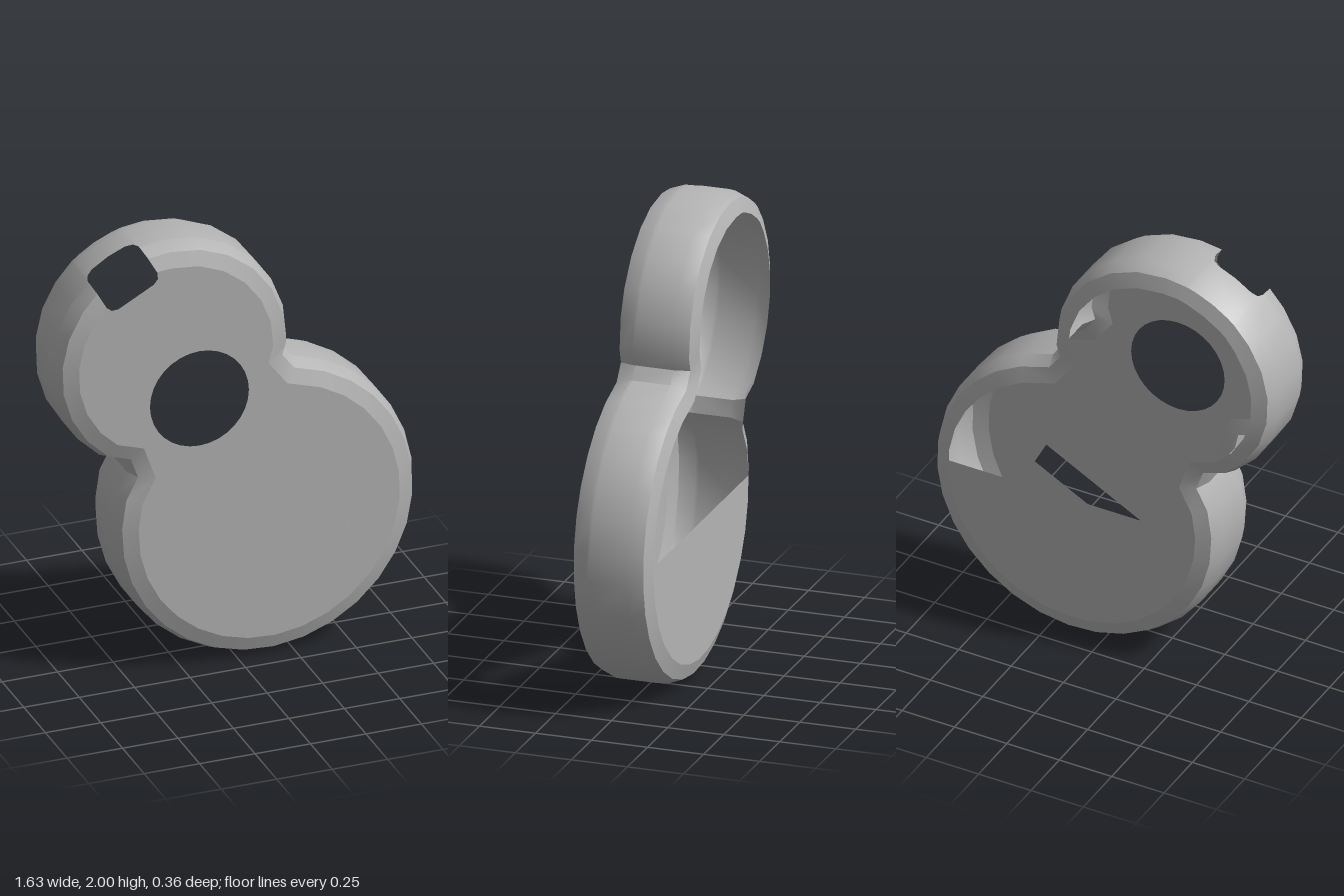
import * as THREE from 'three';
import { toCreasedNormals } from 'three/addons/utils/BufferGeometryUtils.js';

const SMALL = { x: -0.285, y: 1.47, r: 0.53 };
const LARGE = { x: 0.135, y: 0.68, r: 0.68 };
const NOTCH = 0.13;                               // half width of the notch in the upper rim
const N = new THREE.Vector2(-0.474, 0.88).normalize(); // long axis of the case
const T = new THREE.Vector2(N.y, -N.x);
const BACK_EDGE = 0.7;                            // top of the back cover
const DEPTH = 0.178;

const arcPoint = (c, deg) => {
  const a = THREE.MathUtils.degToRad(deg);
  return { x: c.x + c.r * Math.cos(a), y: c.y + c.r * Math.sin(a) };
};
// Point in the small lobe's tilted frame
const notchPoint = (t, n) => ({
  x: SMALL.x + T.x * t + N.x * n,
  y: SMALL.y + T.y * t + N.y * n,
});

// Figure-eight outline, counter-clockwise, with extra points across the notch
function makeOutline() {
  const pts = [];
  const small = (from, to, steps) => {
    for (let i = 0; i <= steps; i++) pts.push(arcPoint(SMALL, from + (to - from) * i / steps));
  };
  small(-2, 92, 6);
  for (const t of [0.13, 0.117, 0.085, 0, -0.085, -0.117, -0.13]) {
    pts.push({ ...notchPoint(t, Math.sqrt(SMALL.r ** 2 - t * t)), t });
  }
  small(145, 234, 6);
  pts.push({ x: -0.5, y: 1.01 }, { x: -0.475, y: 0.94 });
  for (let i = 0; i <= 23; i++) pts.push(arcPoint(LARGE, 166 + (438.5 - 166) * i / 23));
  pts.push({ x: 0.23, y: 1.4 });
  return pts;
}

// Move the outline inwards, mitred at each corner
function inset(pts, d) {
  return pts.map((p, i) => {
    if (p.t !== undefined) return { x: p.x - N.x * d, y: p.y - N.y * d, t: p.t };
    const a = pts[(i + pts.length - 1) % pts.length], b = pts[(i + 1) % pts.length];
    const n1 = new THREE.Vector2(a.y - p.y, p.x - a.x).normalize();
    const n2 = new THREE.Vector2(p.y - b.y, b.x - p.x).normalize();
    const m = n1.clone().add(n2).normalize();
    const k = d / Math.max(0.6, m.dot(n1));
    return { x: p.x + m.x * k, y: p.y + m.y * k };
  });
}

// Height of the notch floor, with rounded corners
function notchFloor(t) {
  if (t === undefined) return 0.075;
  const r = 0.045, e = Math.max(0, Math.abs(t) - (NOTCH - r));
  return 0.03 + r - Math.sqrt(Math.max(0, r * r - e * e));
}

// Bevelled side wall lofted from front to back
function makeWall(outline) {
  const profile = [[0.09, DEPTH], [0.025, 0.155], [0, 0.09], [0, null], [0, -0.09], [0.025, -0.155], [0.09, -DEPTH]];
  const pos = [], idx = [], n = outline.length;
  for (const [d, z] of profile) {
    for (const p of inset(outline, d)) pos.push(p.x, p.y, z === null ? notchFloor(p.t) : z);
  }
  for (let k = 0; k < profile.length - 1; k++) {
    for (let i = 0; i < n; i++) {
      const j = (i + 1) % n;
      const open = outline[i].t !== undefined && outline[j].t !== undefined;
      if (open && k < 3) continue;
      const a = k * n + i, b = a + n, c = (k + 1) * n + j, d = k * n + j;
      idx.push(a, b, c, a, c, d);
    }
  }
  const g = new THREE.BufferGeometry();
  g.setAttribute('position', new THREE.Float32BufferAttribute(pos, 3));
  g.setIndex(idx);
  return toCreasedNormals(g, THREE.MathUtils.degToRad(35));
}

const toShape = (pts) => new THREE.Shape(pts.map((p) => new THREE.Vector2(p.x, p.y)));

// Front plate with the notch, the round opening and the slot
function makeFront(outline) {
  const path = [];
  for (const p of inset(outline, 0.09)) {
    if (p.t === undefined || Math.abs(p.t) === NOTCH) path.push(p);
    if (p.t === NOTCH) {
      for (const [t, n] of [[0.13, 0.42], [0.118, 0.392], [0.09, 0.38], [-0.09, 0.38], [-0.118, 0.392], [-0.13, 0.42]]) {
        path.push(notchPoint(t, n));
      }
    }
  }
  const shape = toShape(path);
  const round = new THREE.Path();
  round.absarc(-0.18, 1.272, 0.223, 0, Math.PI * 2, true);
  const slot = new THREE.Path([[-0.012, 0.405], [0.448, 0.65], [0.503, 0.545], [0.045, 0.3]]
    .map(([x, y]) => new THREE.Vector2(x, y)));
  shape.holes.push(round, slot);
  const g = new THREE.ShapeGeometry(shape, 16);
  g.translate(0, 0, DEPTH);
  return g;
}

// Back cover over the lower half only
function makeBack(outline) {
  const low = inset(outline, 0.09).filter((p) => p.y < BACK_EDGE - 0.01);
  const half = LARGE.r - 0.09;
  low.push({ x: LARGE.x + half, y: BACK_EDGE }, { x: LARGE.x - half, y: BACK_EDGE });
  const g = new THREE.ShapeGeometry(toShape(low.map((p) => ({ x: -p.x, y: p.y }))));
  g.rotateY(Math.PI);
  g.translate(0, 0, -DEPTH);
  return g;
}

export function createModel() {
  const group = new THREE.Group();
  group.name = 'case';
  const grey = new THREE.MeshStandardMaterial({ color: 0xb4b4b4, side: THREE.DoubleSide });
  grey.name = 'grey';
  const outline = makeOutline();
  const parts = { sideWall: makeWall(outline), frontPlate: makeFront(outline), backCover: makeBack(outline) };
  for (const [name, geometry] of Object.entries(parts)) {
    const mesh = new THREE.Mesh(geometry, grey);
    mesh.name = name;
    group.add(mesh);
  }
  return group;
}
